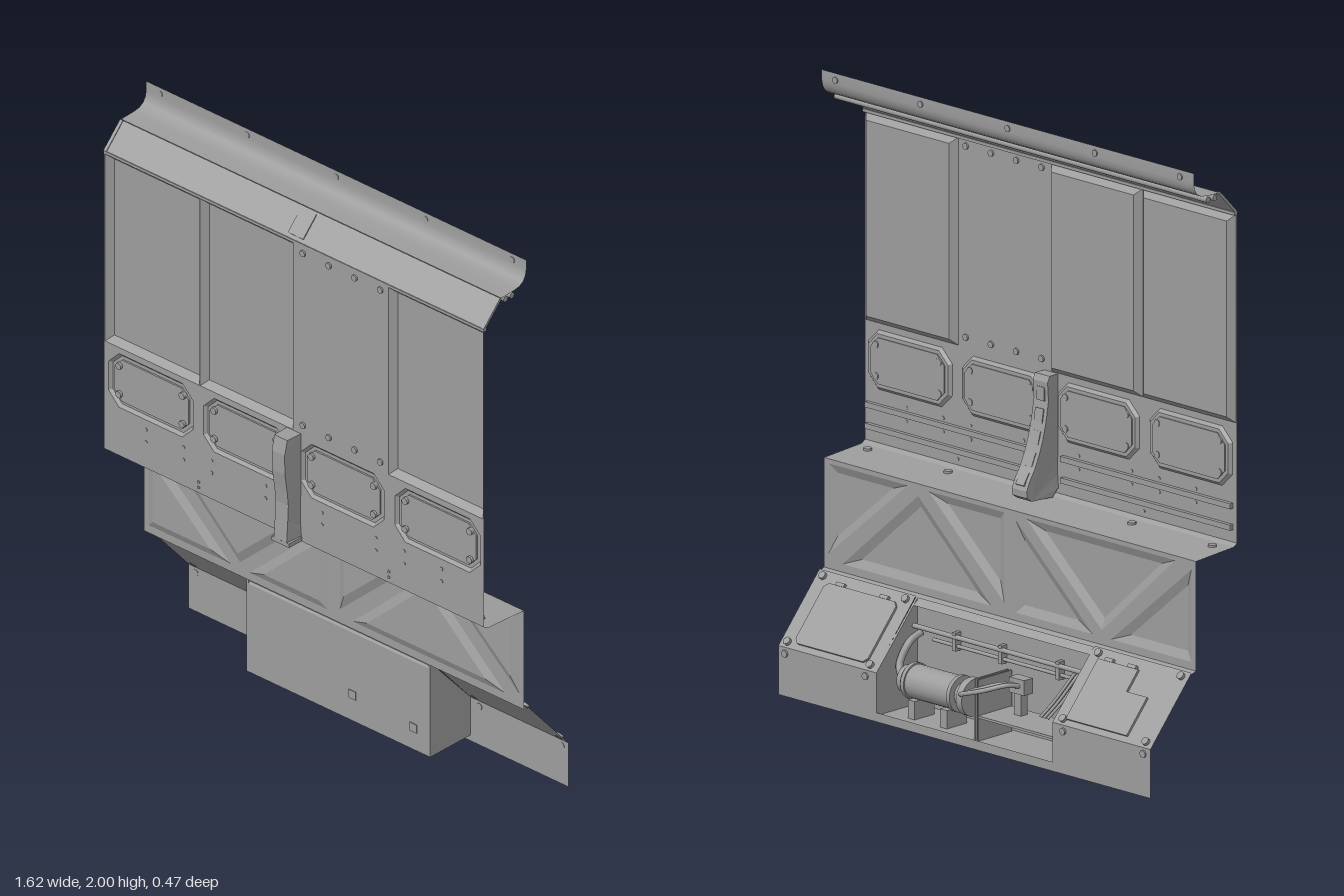
import * as THREE from 'three';

const GREY = 0x9c9c9c;
const sheetMat = new THREE.MeshStandardMaterial({ color: GREY, side: THREE.DoubleSide, flatShading: true });
const curvedMat = new THREE.MeshStandardMaterial({ color: GREY, side: THREE.DoubleSide });
const smoothMat = new THREE.MeshStandardMaterial({ color: GREY });
const W = 0.81;

function add(parent, name, geo, mat = smoothMat, x = 0, y = 0, z = 0) {
  const m = new THREE.Mesh(geo, mat);
  m.name = name;
  m.position.set(x, y, z);
  parent.add(m);
  return m;
}
function group(parent, name) {
  const g = new THREE.Group();
  g.name = name;
  parent.add(g);
  return g;
}
const box = (p, name, w, h, d, x, y, z) => add(p, name, new THREE.BoxGeometry(w, h, d), smoothMat, x, y, z);
const vecs = pts => pts.map(([x, y]) => new THREE.Vector2(x, y));
const rect = (x0, x1, y0, y1) => vecs([[x0, y0], [x1, y0], [x1, y1], [x0, y1]]);
const octagon = (x0, x1, y0, y1, c) => vecs([[x0 + c, y0], [x1 - c, y0], [x1, y0 + c], [x1, y1 - c],
  [x1 - c, y1], [x0 + c, y1], [x0, y1 - c], [x0, y0 + c]]);

// Moves every edge of a convex counter-clockwise polygon inwards by d
function inset(pts, d) {
  const n = pts.length;
  return pts.map((p, i) => {
    const a = p.clone().sub(pts[(i + n - 1) % n]).normalize();
    const b = pts[(i + 1) % n].clone().sub(p).normalize();
    const k = d / (1 + a.dot(b));
    return new THREE.Vector2(p.x - (a.y + b.y) * k, p.y + (a.x + b.x) * k);
  });
}

// Sloped band joining two outlines at two depths
function band(a, b, za, zb) {
  const pos = [];
  a.forEach((p, i) => {
    const j = (i + 1) % a.length;
    const q = [[a[i], za], [a[j], za], [b[j], zb], [b[i], zb]];
    for (const k of [0, 1, 2, 0, 2, 3]) pos.push(q[k][0].x, q[k][0].y, q[k][1]);
  });
  const g = new THREE.BufferGeometry();
  g.setAttribute('position', new THREE.Float32BufferAttribute(pos, 3));
  g.computeVertexNormals();
  return g;
}

// Thin sheet with pressed pockets: { pts, depth, bevel }
function pressedSheet(parent, name, outline, z, pockets) {
  const g = group(parent, name);
  const shape = new THREE.Shape(outline);
  for (const { pts, depth, bevel } of pockets) {
    shape.holes.push(new THREE.Path(pts));
    const inner = inset(pts, bevel);
    add(g, 'pocketEdge', band(pts, inner, z, z + depth), sheetMat);
    add(g, 'pocketFloor', new THREE.ShapeGeometry(new THREE.Shape(inner)), sheetMat, 0, 0, z + depth);
  }
  add(g, 'sheet', new THREE.ShapeGeometry(shape), sheetMat, 0, 0, z);
}

// Sheet running along x that follows a [z, y] profile
function strip(parent, name, profile, x0 = -W, x1 = W, mat = sheetMat) {
  const n = profile.length - 1;
  const geo = new THREE.PlaneGeometry(1, 1, 1, n);
  const p = geo.attributes.position;
  for (let i = 0; i < p.count; i++) {
    const [z, y] = profile[n - Math.floor(i / 2)];
    p.setXYZ(i, i % 2 ? x1 : x0, y, z);
  }
  geo.computeVertexNormals();
  add(parent, name, geo, mat);
}
// Solid from a [z, y] outline, w wide along x
function sideSolid(parent, name, pts, w, x = 0) {
  const geo = new THREE.ExtrudeGeometry(new THREE.Shape(vecs(pts)), { depth: w, bevelEnabled: false });
  geo.translate(0, 0, -w / 2).rotateY(-Math.PI / 2);
  return add(parent, name, geo, sheetMat, x);
}
function bolt(parent, x, y, z, r = 0.011, h = 0.012) {
  add(parent, 'bolt', new THREE.CylinderGeometry(r, r, h, 10), smoothMat, x, y, z).rotation.x = Math.PI / 2;
}
function rod(parent, name, x0, x1, y, z, r) {
  add(parent, name, new THREE.CylinderGeometry(r, r, x1 - x0, 20), smoothMat, (x0 + x1) / 2, y, z).rotation.z = Math.PI / 2;
}
function hose(parent, name, pts, r) {
  const c = new THREE.CatmullRomCurve3(pts.map(p => new THREE.Vector3(...p)));
  add(parent, name, new THREE.TubeGeometry(c, 32, r, 8), smoothMat);
}

function buildUpperWall(root) {
  const g = group(root, 'upperWall');
  const Z = 0.165;
  const bays = [[-0.805, -0.403], [-0.4, -0.003], [0.403, 0.805]];
  const plates = [[-0.79, -0.43], [-0.385, -0.03], [0.03, 0.385], [0.43, 0.795]];
  pressedSheet(g, 'wallSheet', rect(-W, W, 0.75, 1.83), Z, [
    ...bays.map(([a, b]) => ({ pts: rect(a, b, 1.142, 1.822), depth: -0.022, bevel: 0.02 })),
    ...plates.map(([a, b]) => ({ pts: octagon(a, b, 0.925, 1.12, 0.045), depth: -0.01, bevel: 0.01 })),
  ]);
  // Bolted octagonal covers
  for (const [a, b] of plates) {
    const pts = octagon(a + 0.022, b - 0.022, 0.947, 1.098, 0.032);
    add(g, 'coverPlate', new THREE.ExtrudeGeometry(new THREE.Shape(pts), { depth: 0.01, bevelEnabled: false }), sheetMat, 0, 0, Z - 0.014);
    for (const x of [a + 0.045, b - 0.045]) for (const y of [0.972, 1.075]) bolt(g, x, y, Z - 0.006, 0.012, 0.022);
  }
  // Bolts of the flat bay
  for (const x of [0.04, 0.15, 0.26, 0.37]) for (const y of [1.175, 1.8]) bolt(g, x, y, Z, 0.011, 0.012);
  // Small rivets and back rails under the covers
  for (const s of [-1, 1]) {
    for (const x of [0.12, 0.35, 0.47, 0.63]) for (const y of [0.845, 0.89]) bolt(g, s * x, y, Z, 0.006, 0.004);
    for (const y of [0.77, 0.79]) bolt(g, s * 0.405, y, Z, 0.005, 0.006);
    for (const y of [0.8, 0.87]) box(g, 'backRail', 0.74, 0.018, 0.014, s * 0.425, y, Z - 0.01);
  }
  box(g, 'topRail', 2 * W, 0.01, 0.014, 0, 1.828, Z - 0.005);
}

function buildCornice(root) {
  const g = group(root, 'cornice');
  sideSolid(g, 'slopedPanel', [[0.165, 1.832], [0.088, 1.912], [0.084, 1.908], [0.161, 1.828]], 2 * W);
  sideSolid(g, 'centreClip', [[0.158, 1.845], [0.097, 1.908], [0.094, 1.905], [0.155, 1.842]], 0.065);
  for (const s of [-1, 1])
    sideSolid(g, 'endFrame', [[0.167, 1.834], [0.09, 1.914], [0.086, 1.91], [0.163, 1.83]], 0.012, s * (W - 0.006));
  strip(g, 'coveSheet', [[0.086, 1.912], [0.03, 1.914], [0.002, 1.918], [-0.016, 1.929], [-0.026, 1.946],
    [-0.03, 1.965], [-0.03, 2]], -W, W, curvedMat);
  for (const z of [0.065, 0.035]) rod(g, 'conduit', -W, W, 1.9, z, 0.01);
  for (const x of [-0.75, -0.38, 0, 0.38, 0.75]) bolt(g, x, 1.977, -0.031, 0.011, 0.006);
}

function buildBracket(root) {
  const g = group(root, 'centreBracket');
  const body = sideSolid(g, 'bracketBody', [[0.225, 1.14], [0.237, 1.09], [0.236, 1.02], [0.225, 0.95], [0.22, 0.9],
    [0.223, 0.84], [0.228, 0.765], [0.16, 0.765], [0.14, 0.742], [0.045, 0.748], [0.024, 0.762], [0.022, 0.785],
    [0.035, 0.815], [0.058, 0.85], [0.079, 0.895], [0.095, 0.94], [0.109, 0.995], [0.12, 1.06], [0.116, 1.12], [0.125, 1.14]], 0.064);
  // Narrower towards the front
  const p = body.geometry.attributes.position;
  for (let i = 0; i < p.count; i++) if (p.getZ(i) > 0.2) p.setX(i, p.getX(i) * 0.85);
  box(g, 'footPlate', 0.074, 0.014, 0.06, 0, 0.762, 0.198);
  // Stepped blocks down the rear curve
  [[0.119, 1.08, 0], [0.112, 1.01, 0.17], [0.096, 0.94, 0.28], [0.071, 0.875, 0.43], [0.038, 0.818, 0.6]].forEach(([z, y, a]) => {
    box(g, 'rearStep', 0.036, 0.045, 0.008, 0, y, z).rotation.x = a;
  });
}

function buildLowerPanel(root) {
  const g = group(root, 'lowerPanel');
  strip(g, 'ledge', [[0.165, 0.75], [0.15, 0.74], [-0.02, 0.73]]);
  for (const x of [-0.75, -0.4, 0.1, 0.4, 0.75])
    add(g, 'ledgeBolt', new THREE.CylinderGeometry(0.014, 0.014, 0.014, 10), smoothMat, x, 0.738, 0.115);
  // Triangular pressings leaving a diagonal truss
  const tri = [
    [[-0.72, 0.715], [-0.4, 0.42], [-0.07, 0.715]],
    [[-0.79, 0.398], [-0.44, 0.398], [-0.79, 0.7]],
    [[-0.36, 0.398], [-0.025, 0.398], [-0.025, 0.7]],
    [[0.08, 0.398], [0.73, 0.398], [0.4, 0.69]],
    [[0.025, 0.42], [0.355, 0.715], [0.025, 0.715]],
    [[0.79, 0.42], [0.79, 0.715], [0.445, 0.715]],
  ];
  pressedSheet(g, 'trussSheet', rect(-W, W, 0.37, 0.73), -0.02,
    tri.map(t => ({ pts: vecs(t), depth: 0.013, bevel: 0.028 })));
  strip(g, 'lowerLip', [[-0.02, 0.372], [-0.04, 0.365]]);
}

function buildBase(root) {
  const g = group(root, 'base');
  for (const s of [-1, 1]) strip(g, 'backSkirt', [[-0.225, 0.16], [-0.225, 0]], s > 0 ? 0.39 : -W, s > 0 ? W : -0.39);
  strip(g, 'skirtSill', [[-0.225, 0.03], [-0.225, 0]], -0.39, 0.39);
  // Sloped wings, drawn flat and tilted; outside is -z
  const slope = group(g, 'slopedWings');
  slope.position.set(0, 0.16, -0.225);
  slope.rotation.x = Math.atan2(0.185, 0.21);
  for (const [a, b] of [[-W, -0.39], [0.39, W]]) {
    add(slope, 'wingSheet', new THREE.ShapeGeometry(new THREE.Shape(rect(a, b, 0, 0.28))), sheetMat);
    for (const x of [a + 0.03, b - 0.03]) for (const y of [0.02, 0.26]) bolt(slope, x, y, -0.005, 0.013, 0.012);
  }
  const covers = [octagon(0.435, 0.75, 0.02, 0.24, 0.015),
    vecs([[-0.7, 0.02], [-0.435, 0.02], [-0.435, 0.24], [-0.61, 0.24], [-0.61, 0.16], [-0.7, 0.16]])];
  for (const pts of covers) {
    const geo = new THREE.ExtrudeGeometry(new THREE.Shape(pts), { depth: 0.008, bevelEnabled: false });
    add(slope, 'accessCover', geo, sheetMat, 0, 0, -0.01);
  }
  for (const x of [-0.58, -0.48, 0.5, 0.69]) box(slope, 'hinge', 0.035, 0.012, 0.012, x, 0.245, -0.006);
  for (const x of [-0.78, -0.43, 0.43, 0.78]) bolt(g, x, 0.14, -0.227, 0.012, 0.008);

  // Housing, open along the sloping back
  const h = group(g, 'housing');
  strip(h, 'housingShell', [[-0.06, 0.345], [-0.045, 0.348], [-0.04, 0.34], [-0.04, 0.02], [-0.225, 0.02]], -0.39, 0.39);
  strip(h, 'openingLip', [[-0.02, 0.372], [-0.06, 0.345]], -0.39, 0.39);
  for (const s of [-1, 1])
    sideSolid(h, 'housingSide', [[-0.04, 0.02], [-0.04, 0.365], [-0.225, 0.16], [-0.225, 0.02]], 0.008, s * 0.387);
  for (const [x, y] of [[0.06, 0.115], [0.32, 0.1]]) box(h, 'frontTab', 0.03, 0.03, 0.004, x, y, -0.039);
}

function buildMachinery(root) {
  const g = group(root, 'machinery');
  const y = 0.13, z = -0.13;
  rod(g, 'motorBody', 0.1, 0.32, y, z, 0.055);
  for (const x of [0.1, 0.3]) rod(g, 'motorBand', x, x + 0.014, y, z, 0.06);
  rod(g, 'motorCap', 0.32, 0.345, y, z, 0.045);
  rod(g, 'motorFlange', 0.045, 0.07, y, z, 0.062);
  rod(g, 'motorNeck', 0.07, 0.1, y, z, 0.038);
  for (const x of [0.14, 0.28]) box(g, 'motorFoot', 0.03, 0.06, 0.09, x, 0.05, z);
  hose(g, 'motorPipe', [[0.34, y, -0.15], [0.365, 0.17, -0.14], [0.36, 0.24, -0.1], [0.36, 0.26, -0.05]], 0.012);
  // Divider and mounting plate
  for (const x of [-0.035, -0.02]) box(g, 'divider', 0.006, 0.2, 0.15, x, 0.12, -0.125);
  box(g, 'mountPlate', 0.34, 0.008, 0.15, -0.21, 0.1, -0.13);
  for (const x of [-0.35, -0.335, -0.32]) hose(g, 'thinPipe', [[x, 0.16, -0.215], [x, 0.2, -0.15], [x, 0.27, -0.06]], 0.005);
  // Valve block with twin hoses
  box(g, 'valveBlock', 0.065, 0.05, 0.04, -0.125, 0.2, -0.1);
  box(g, 'valvePost', 0.03, 0.1, 0.03, -0.125, 0.14, -0.1);
  for (const d of [0, 0.02])
    hose(g, 'hose', [[-0.135 + d, 0.2, -0.11], [-0.12 + d, 0.21, -0.16], [-0.06 + d, 0.19, -0.205 + d / 2],
      [0.02, 0.165, -0.215 + d], [0.055, 0.15, -0.185 + d]], 0.008);
  // Pipes under the upper edge of the opening
  rod(g, 'upperPipe', -0.38, 0.38, 0.28, -0.06, 0.008);
  rod(g, 'upperPipe', -0.38, 0.3, 0.25, -0.055, 0.006);
  for (const x of [-0.25, 0, 0.2]) box(g, 'pipeClip', 0.015, 0.06, 0.025, x, 0.265, -0.053);
}

export function createModel() {
  const root = new THREE.Group();
  root.name = 'wallSection';
  buildUpperWall(root);
  buildCornice(root);
  buildBracket(root);
  buildLowerPanel(root);
  buildBase(root);
  buildMachinery(root);
  return root;
}
